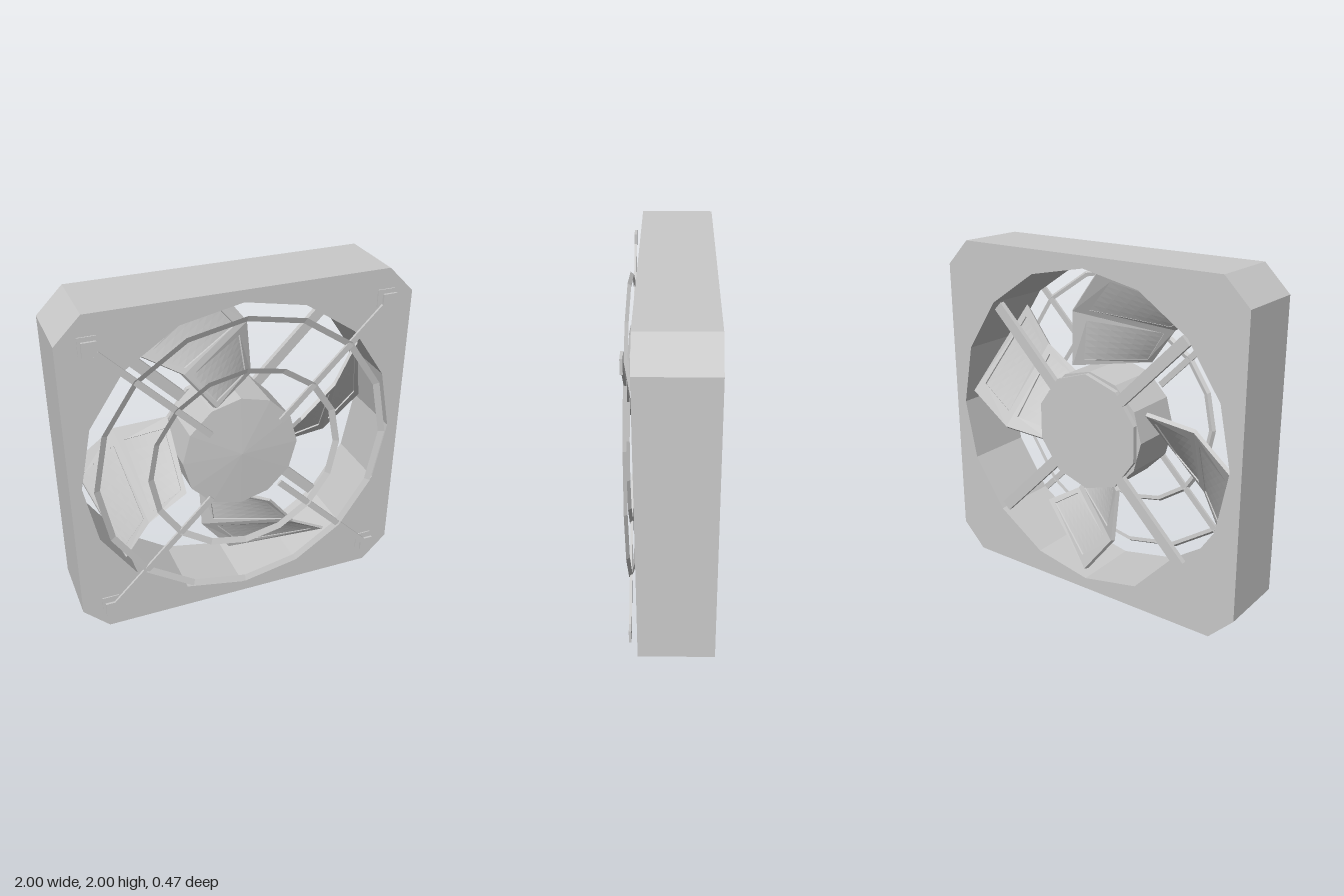
import * as THREE from 'three';

export function createModel() {
  const model = new THREE.Group();
  const grey = new THREE.MeshStandardMaterial({ color: 0xcacaca });
  grey.name = 'plastic grey';

  // Everything is built around the fan axis, then lifted onto the ground
  const fan = new THREE.Group();
  fan.name = 'fan';
  fan.position.y = 1;
  model.add(fan);

  function add(name, geometry, parent = fan) {
    const flat = geometry.index ? geometry.toNonIndexed() : geometry;
    flat.computeVertexNormals();
    const mesh = new THREE.Mesh(flat, grey);
    mesh.name = name;
    parent.add(mesh);
    return mesh;
  }

  function box(name, w, h, d, x, y, z, parent) {
    return add(name, new THREE.BoxGeometry(w, h, d).translate(x, y, z), parent);
  }

  const polygon = (r, n) => Array.from({ length: n }, (_, i) => {
    const a = (i / n) * Math.PI * 2;
    return new THREE.Vector2(Math.cos(a) * r, Math.sin(a) * r);
  });

  // Lathe turned so that its axis runs along z; points are [radius, z]
  function turned(name, points, sides, parent) {
    const pts = points.map(([r, z]) => new THREE.Vector2(r, z));
    return add(name, new THREE.LatheGeometry(pts, sides).rotateX(Math.PI / 2), parent);
  }

  // Square housing with cut corners and a sixteen-sided opening
  const housing = new THREE.Shape([
    [0.85, -1], [1, -0.85], [1, 0.85], [0.85, 1],
    [-0.85, 1], [-1, 0.85], [-1, -0.85], [-0.85, -1],
  ].map(([x, y]) => new THREE.Vector2(x, y)));
  housing.holes.push(new THREE.Path(polygon(0.932, 16)));
  add('housing', new THREE.ExtrudeGeometry(housing, { depth: 0.415, bevelEnabled: false })
    .translate(0, 0, -0.235));

  // Rotor hub with a shallow pointed front, and the motor plate behind it
  turned('hub', [[0, -0.18], [0.35, -0.18], [0.35, 0.145], [0, 0.165]], 12);
  turned('motorPlate', [[0, -0.22], [0.345, -0.22], [0.345, -0.19], [0, -0.19]], 10);

  // Blade: root, middle and tip stations, each with a leading and trailing point
  const stations = [
    [[-0.17, 0.35, 0.187], [0.16, 0.35, -0.13]],
    [[-0.34, 0.57, 0.155], [0.14, 0.67, -0.15]],
    [[-0.57, 0.71, 0.125], [-0.05, 0.915, -0.165]],
  ].map((s) => s.map((p) => new THREE.Vector3(...p)));
  const thickness = new THREE.Vector3(0.65, 0, 0.76);

  function bladePoint(row, u, v, w) {
    const near = stations[row][0].clone().lerp(stations[row][1], u);
    const far = stations[row + 1][0].clone().lerp(stations[row + 1][1], u);
    return near.lerp(far, v).addScaledVector(thickness, w);
  }

  function bladeGeometry() {
    const pos = [];
    const quad = (a, b, c, d, flip) => {
      const order = flip ? [a, c, b, a, d, c] : [a, b, c, a, c, d];
      order.forEach((p) => pos.push(p.x, p.y, p.z));
    };
    const rect = (u0, u1, v0, v1) => [[u0, v0], [u1, v0], [u1, v1], [u0, v1]];
    const [u0, u1, v0, v1] = [0.08, 0.86, 0.1, 0.87];
    const outer = rect(0, 1, 0, 1), inner = rect(u0, u1, v0, v1);
    const half = 0.012, floor = 0.003, steps = 6;
    const du = (u1 - u0) / steps, dv = (v1 - v0) / steps;
    for (const row of [0, 1]) {
      const ring = (uv, w) => uv.map(([u, v]) => bladePoint(row, u, v, w));
      for (const side of [1, -1]) {
        // Rim and the low walls around the sunken panel
        const rings = [ring(outer, side * half), ring(inner, side * half), ring(inner, side * floor)];
        for (let k = 0; k < 2; k++) {
          for (let i = 0; i < 4; i++) {
            const j = (i + 1) % 4;
            quad(rings[k][i], rings[k][j], rings[k + 1][j], rings[k + 1][i], side < 0);
          }
        }
        // Twisted panel as a fine grid
        for (let i = 0; i < steps; i++) {
          for (let j = 0; j < steps; j++) {
            const u = u0 + i * du, v = v0 + j * dv;
            quad(...ring(rect(u, u + du, v, v + dv), side * floor), side < 0);
          }
        }
      }
      // Outside edges, leaving out the joint between the two rows
      const front = ring(outer, half), back = ring(outer, -half);
      for (let i = 0; i < 4; i++) {
        if (i === (row === 0 ? 2 : 0)) continue;
        const j = (i + 1) % 4;
        quad(back[i], back[j], front[j], front[i], false);
      }
    }
    const geometry = new THREE.BufferGeometry();
    geometry.setAttribute('position', new THREE.Float32BufferAttribute(pos, 3));
    return geometry;
  }

  const blade = bladeGeometry();
  for (let i = 0; i < 4; i++) {
    add('blade', blade.clone().rotateZ(i * Math.PI / 2));
  }

  // Front guard: two rings of three-sided wire
  const guard = new THREE.Group();
  guard.name = 'guard';
  fan.add(guard);
  for (const r of [0.88, 0.58]) {
    turned('guardRing', [
      [r - 0.014, 0.218], [r, 0.237], [r - 0.036, 0.222], [r - 0.014, 0.218],
    ], 16, guard);
  }

  // Diagonal guard bars with corner pads, and the struts holding the motor
  for (let i = 0; i < 4; i++) {
    const a = Math.PI / 4 + i * Math.PI / 2;
    const x = Math.sign(Math.cos(a)) * 0.833;
    const y = Math.sign(Math.sin(a)) * 0.833;
    box('guardBar', 0.84, 0.036, 0.014, 0.715, 0, 0.226, guard).rotation.z = a;
    box('guardPad', 0.08, 0.08, 0.014, x, y, 0.226, guard);
    box('screwPad', 0.1, 0.1, 0.012, x, y, 0.181);
    box('motorStrut', 0.6, 0.065, 0.03, 0.605, 0, -0.205).rotation.z = a;
  }

  return model;
}
